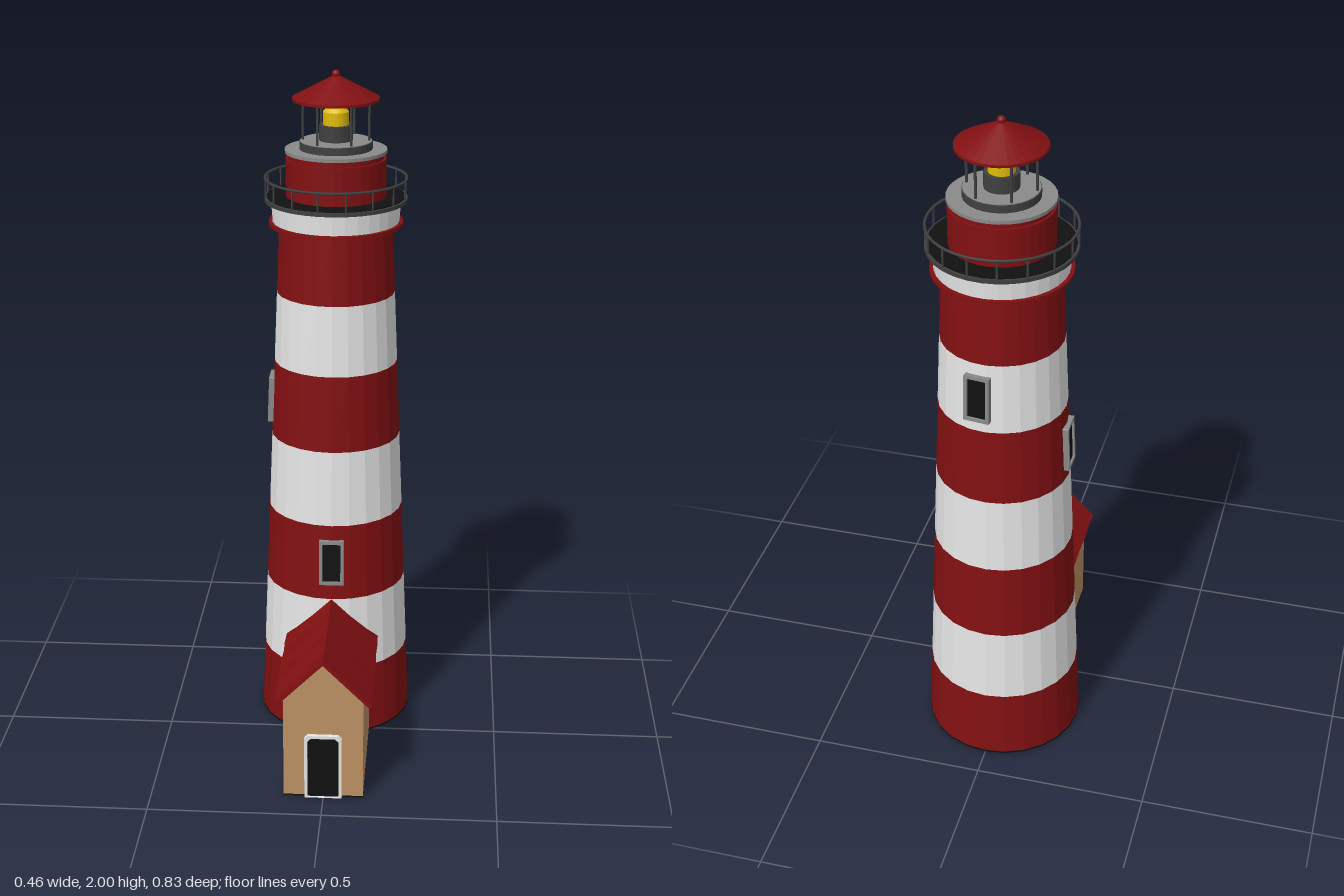
import * as THREE from 'three';

const mat = (name, color) => {
  const m = new THREE.MeshStandardMaterial({ color });
  m.name = name;
  return m;
};

export function createModel() {
  const red = mat('red paint', 0x821012);
  const white = mat('white paint', 0xe6e6e6);
  const tan = mat('tan wall', 0xbd9264);
  const black = mat('black', 0x111111);
  const dark = mat('dark metal', 0x404040);
  const gray = mat('gray stone', 0x8a8a8a);
  const yellow = mat('yellow lamp', 0xe0bc08);

  const root = new THREE.Group();
  root.name = 'lighthouse';
  const tower = new THREE.Group();
  tower.name = 'tower';
  tower.position.z = -0.187;
  root.add(tower);

  const add = (parent, name, geo, material, x = 0, y = 0, z = 0) => {
    const m = new THREE.Mesh(geo, material);
    m.name = name;
    m.position.set(x, y, z);
    parent.add(m);
    return m;
  };
  // Faceted round section from height y0 to y1
  const drum = (name, material, y0, y1, r0, r1 = r0, sides = 24) => {
    const geo = new THREE.CylinderGeometry(r1, r0, y1 - y0, sides).toNonIndexed();
    geo.computeVertexNormals();
    return add(tower, name, geo, material, 0, (y0 + y1) / 2, 0);
  };

  // Tapered shaft with alternating bands
  const top = 1.56;
  const radiusAt = y => 0.23 - 0.065 * y / top;
  const bands = [0.006, 0.22, 0.45, 0.685, 0.915, 1.145, 1.355, top];
  for (let i = 0; i < bands.length - 1; i++) {
    drum('band' + (i + 1), i % 2 ? white : red, bands[i], bands[i + 1], radiusAt(bands[i]), radiusAt(bands[i + 1]));
  }
  drum('towerBase', black, 0, 0.006, 0.23);

  // Gallery
  drum('galleryMoulding', red, 1.555, 1.566, 0.195, 0.195, 32);
  drum('galleryCollar', white, 1.566, 1.628, 0.184, 0.188, 32);
  drum('galleryEdge', dark, 1.626, 1.637, 0.207, 0.207, 32);
  drum('galleryFloor', black, 1.637, 1.64, 0.2, 0.2, 32);
  const rail = add(tower, 'topRail', new THREE.TorusGeometry(0.204, 0.004, 6, 48), dark, 0, 1.692, 0);
  rail.rotation.x = Math.PI / 2;
  for (let i = 0; i < 16; i++) {
    const a = (i + 0.5) * Math.PI / 8;
    add(tower, 'railPost', new THREE.CylinderGeometry(0.003, 0.003, 0.06, 6), dark,
      0.204 * Math.sin(a), 1.663, 0.204 * Math.cos(a));
  }

  // Lantern room and lamp
  drum('lanternRoom', red, 1.64, 1.75, 0.145, 0.145, 32);
  drum('lanternNeck', red, 1.75, 1.766, 0.138, 0.138, 32);
  drum('lanternSlab', gray, 1.766, 1.776, 0.147, 0.147, 32);
  drum('lampPlinth', dark, 1.776, 1.798, 0.105, 0.105, 32);
  drum('lampPlinthTop', gray, 1.798, 1.8, 0.103, 0.103, 32);
  drum('lampStand', dark, 1.8, 1.845, 0.048);
  drum('lamp', yellow, 1.845, 1.882, 0.037);
  drum('lampCap', yellow, 1.882, 1.892, 0.037, 0.029);
  for (let i = 0; i < 6; i++) {
    const a = (i + 0.5) * Math.PI / 3;
    add(tower, 'roofPost', new THREE.CylinderGeometry(0.004, 0.004, 0.122, 6), dark,
      0.095 * Math.sin(a), 1.859, 0.095 * Math.cos(a));
  }
  drum('lanternRoofRim', red, 1.914, 1.922, 0.125, 0.125, 32);
  drum('lanternRoof', red, 1.922, 1.984, 0.125, 0.008, 32);
  add(tower, 'finial', new THREE.SphereGeometry(0.012, 16, 10), red, 0, 1.988, 0);

  // Framed opening in the xy plane, facing +z; the upper corners are cut by c
  const outline = (w, y0, y1, c) => [
    [-w, y0], [w, y0], [w, y1 - c], [w - c, y1], [-w + c, y1], [-w, y1 - c],
  ].map(p => new THREE.Vector2(...p));
  const opening = (name, w, y0, y1, c, t, sill, frameMat) => {
    const g = new THREE.Group();
    g.name = name;
    const shape = new THREE.Shape(outline(w, y0, y1, c));
    const inner = outline(w - t, y0 + sill, y1 - t, c);
    shape.holes.push(new THREE.Path(inner));
    add(g, 'frame', new THREE.ExtrudeGeometry(shape, { depth: 0.024, bevelEnabled: false }), frameMat, 0, 0, -0.012);
    add(g, 'pane', new THREE.ExtrudeGeometry(new THREE.Shape(inner), { depth: 0.009, bevelEnabled: false }), black, 0, 0, -0.003);
    return g;
  };

  // Tower windows: height and compass angle from the front
  for (const [y, angle] of [[0.57, 0], [1.02, -Math.PI / 2], [1.25, Math.PI - 0.13]]) {
    const turn = new THREE.Group();
    turn.name = 'towerWindow';
    turn.rotation.y = angle;
    const win = opening('windowFrame', 0.037, -0.07, 0.07, 0.002, 0.01, 0.01, gray);
    win.position.set(0, y, radiusAt(y));
    win.rotation.x = -Math.atan(0.065 / top);
    turn.add(win);
    tower.add(turn);
  }

  // Gabled house
  const house = new THREE.Group();
  house.name = 'house';
  root.add(house);
  const gable = new THREE.Shape([[-0.115, 0.005], [0.115, 0.005], [0.115, 0.32], [0, 0.435], [-0.115, 0.32]]
    .map(p => new THREE.Vector2(...p)));
  add(house, 'walls', new THREE.ExtrudeGeometry(gable, { depth: 0.49, bevelEnabled: false }), tan, 0, 0, -0.09);
  add(house, 'floor', new THREE.BoxGeometry(0.23, 0.005, 0.49), black, 0, 0.0025, 0.155);

  // Overlapping roof boards, each tipped slightly
  const length = 0.197;
  for (const s of [-1, 1]) {
    const slope = new THREE.Group();
    slope.name = s < 0 ? 'rightRoof' : 'leftRoof';
    slope.position.y = 0.448;
    slope.rotation.z = -s * Math.PI / 4;
    house.add(slope);
    for (let i = 0; i < 7; i++) {
      const z0 = i ? 0.03 + (i - 1) * 0.065 : -0.018;
      const z1 = i < 6 ? 0.03 + i * 0.065 : 0.417;
      const board = add(slope, 'roofBoard', new THREE.BoxGeometry(length, 0.011, z1 - z0 + 0.001), red,
        s * length / 2, -0.005, (z0 + z1) / 2);
      board.rotation.x = i % 2 ? 0.05 : -0.04;
    }
  }

  // Door and side window
  const door = opening('door', 0.054, 0.002, 0.205, 0.01, 0.009, 0.002, white);
  door.position.z = 0.4;
  house.add(door);
  const side = opening('houseWindow', 0.05, -0.037, 0.037, 0.002, 0.011, 0.011, white);
  side.position.set(-0.115, 0.165, 0.165);
  side.rotation.y = -Math.PI / 2;
  house.add(side);

  return root;
}
